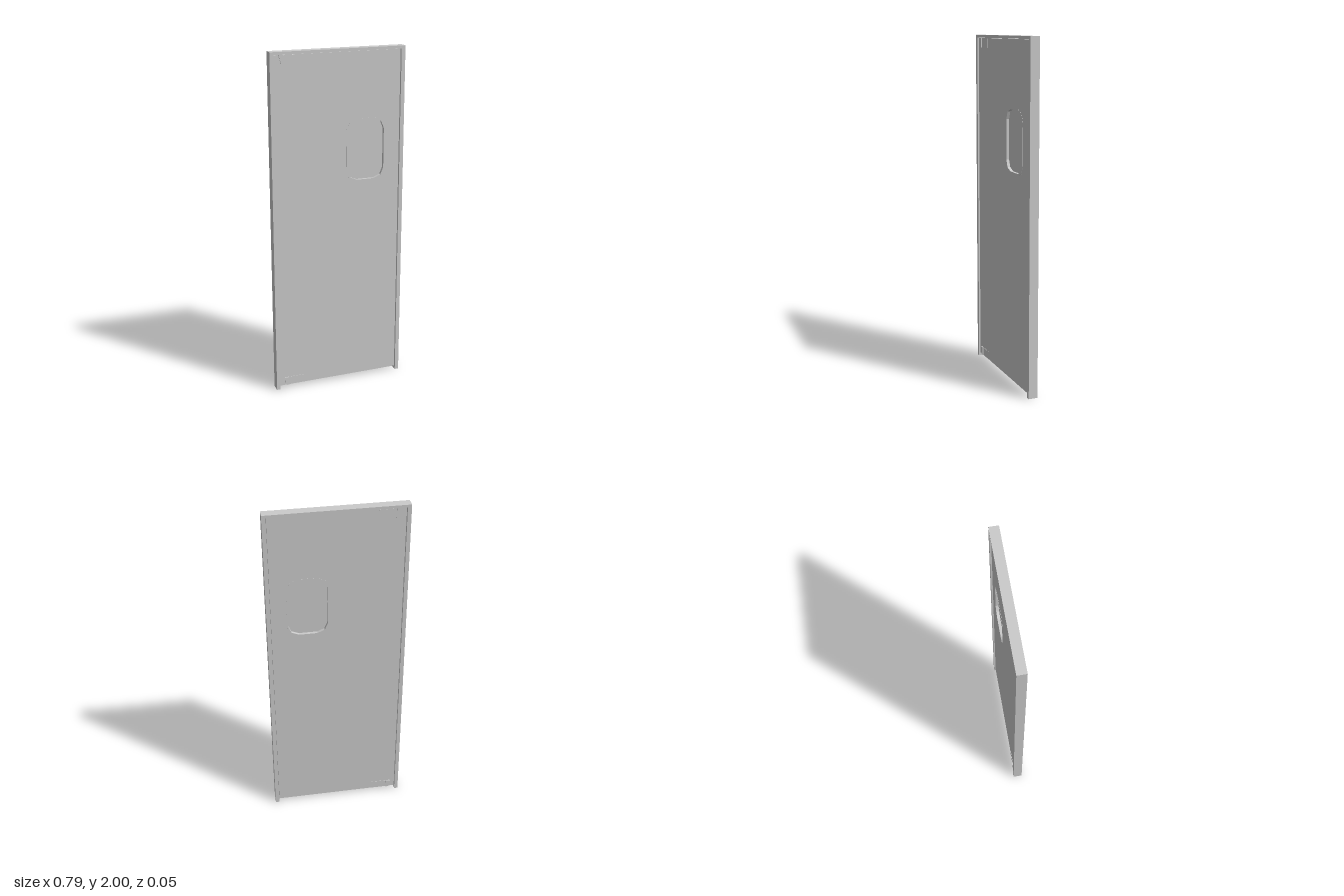
import * as THREE from 'three';

const material = new THREE.MeshStandardMaterial({ color: 0xcccccc, flatShading: true });

// Rectangle outline with two-segment rounded corners
function roundedOutline(x0, y0, x1, y1, r, PathType = THREE.Shape) {
  const corners = [[x1 - r, y1 - r, 0], [x0 + r, y1 - r, 1], [x0 + r, y0 + r, 2], [x1 - r, y0 + r, 3]];
  const points = [];
  for (const [cx, cy, quarter] of corners) {
    for (let i = 0; i <= 2; i++) {
      const a = (quarter + i / 2) * Math.PI / 2;
      points.push(new THREE.Vector2(cx + r * Math.cos(a), cy + r * Math.sin(a)));
    }
  }
  return new PathType(points);
}

function rectangle(x0, y0, x1, y1) {
  return new THREE.Shape([[x0, y0], [x1, y0], [x1, y1], [x0, y1]].map(p => new THREE.Vector2(...p)));
}

export function createModel() {
  const model = new THREE.Group();

  // Adds an outline extruded between two depths
  function slab(name, shape, z0, z1) {
    const geometry = new THREE.ExtrudeGeometry(shape, { depth: z1 - z0, bevelEnabled: false });
    geometry.translate(0, 0, z0);
    const mesh = new THREE.Mesh(geometry, material);
    mesh.name = name;
    model.add(mesh);
  }

  // Door frame: two jambs and a head in one outline
  const frame = new THREE.Shape([
    [-0.395, 0], [-0.373, 0], [-0.373, 1.984], [0.37, 1.984],
    [0.37, 0], [0.393, 0], [0.393, 2], [-0.395, 2],
  ].map(p => new THREE.Vector2(...p)));
  slab('doorFrame', frame, -0.028, 0.026);

  // Swinging leaf with window opening
  const back = -0.019, front = 0.017;
  const leaf = rectangle(-0.371, 0.02, 0.368, 1.982);
  leaf.holes.push(roundedOutline(0.048, 1.242, 0.276, 1.602, 0.062, THREE.Path));
  slab('doorLeaf', leaf, back, front);

  // Window pane set into the leaf
  slab('windowPane', roundedOutline(0.045, 1.239, 0.279, 1.605, 0.062), -0.003, 0.001);

  // Window gasket, deeper along its lower edge
  const gasket = roundedOutline(0.045, 1.236, 0.279, 1.605, 0.064);
  gasket.holes.push(roundedOutline(0.051, 1.25, 0.273, 1.599, 0.06, THREE.Path));
  slab('windowGasket', gasket, back - 0.001, front + 0.001);

  // Hinge plates on both faces, at top and bottom
  for (const [label, y0, y1] of [['upper', 1.926, 1.98], ['lower', 0.021, 0.07]]) {
    slab(label + 'HingePlateFront', rectangle(-0.343, y0, -0.225, y1), front, front + 0.002);
    slab(label + 'HingePlateBack', rectangle(-0.343, y0, -0.225, y1), back - 0.002, back);
  }

  // Hinge knuckles: a tapered hook above, a short block below
  const hook = new THREE.Shape([
    [-0.345, 1.983], [-0.331, 1.935], [-0.331, 1.926], [-0.317, 1.926], [-0.317, 1.983],
  ].map(p => new THREE.Vector2(...p)));
  slab('upperHingeKnuckle', hook, -0.026, 0.024);
  const block = new THREE.Shape([
    [-0.331, 0.021], [-0.317, 0.021], [-0.317, 0.07], [-0.343, 0.07], [-0.343, 0.038],
  ].map(p => new THREE.Vector2(...p)));
  slab('lowerHingeKnuckle', block, -0.026, 0.024);

  return model;
}
